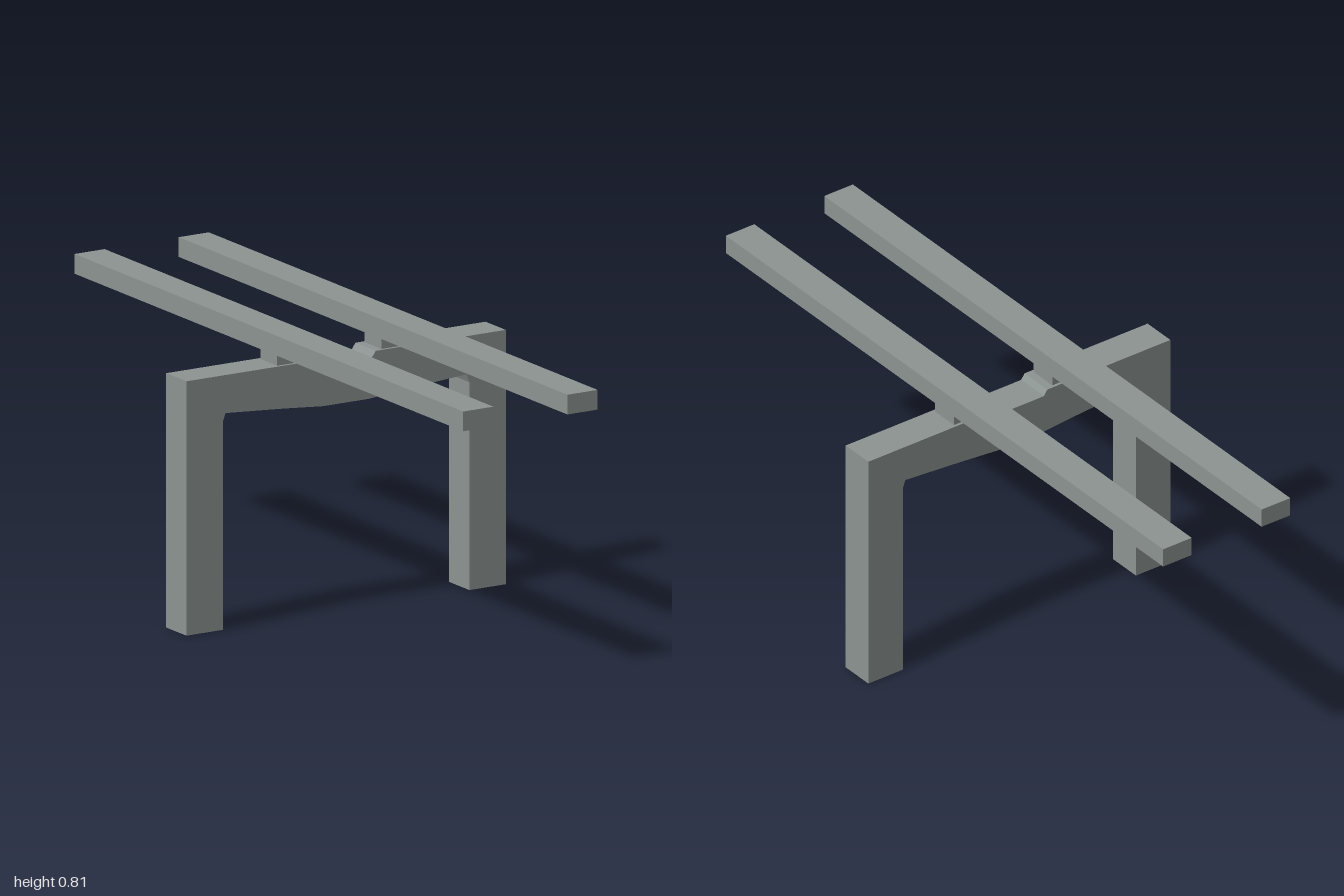
import * as THREE from 'three';

export function createModel() {
  const model = new THREE.Group();
  const concrete = new THREE.MeshStandardMaterial({ color: 0x8c9492 });
  concrete.name = 'concrete grey';

  const add = (name, geometry, x = 0, y = 0, z = 0) => {
    const mesh = new THREE.Mesh(geometry, concrete);
    mesh.name = name;
    mesh.position.set(x, y, z);
    model.add(mesh);
  };

  // Portal frame: half outline from the top notch down to the underside, then mirrored
  const half = [
    [0.084, 0.705], [0.096, 0.722], [0.518, 0.722], [0.518, 0], [0.4, 0],
    [0.4, 0.59], [0.391, 0.614], [0.2, 0.6], [0.075, 0.589],
  ];
  const mirrored = half.map(([x, y]) => [-x, y]).reverse();
  const outline = [...half, ...mirrored].map(([x, y]) => new THREE.Vector2(x, y));
  const depth = 0.104;
  const frame = new THREE.ExtrudeGeometry(new THREE.Shape(outline), { depth, bevelEnabled: false });
  frame.translate(0, 0, -depth / 2);
  add('portalFrame', frame);

  // Two long girders, each resting on a bearing block
  for (const [side, s] of [['left', 1], ['right', -1]]) {
    add(side + 'Girder', new THREE.BoxGeometry(0.098, 0.056, 2), s * 0.169, 0.778);
    add(side + 'Bearing', new THREE.BoxGeometry(0.098, 0.028, 0.086), s * 0.169, 0.736);
  }
  return model;
}
